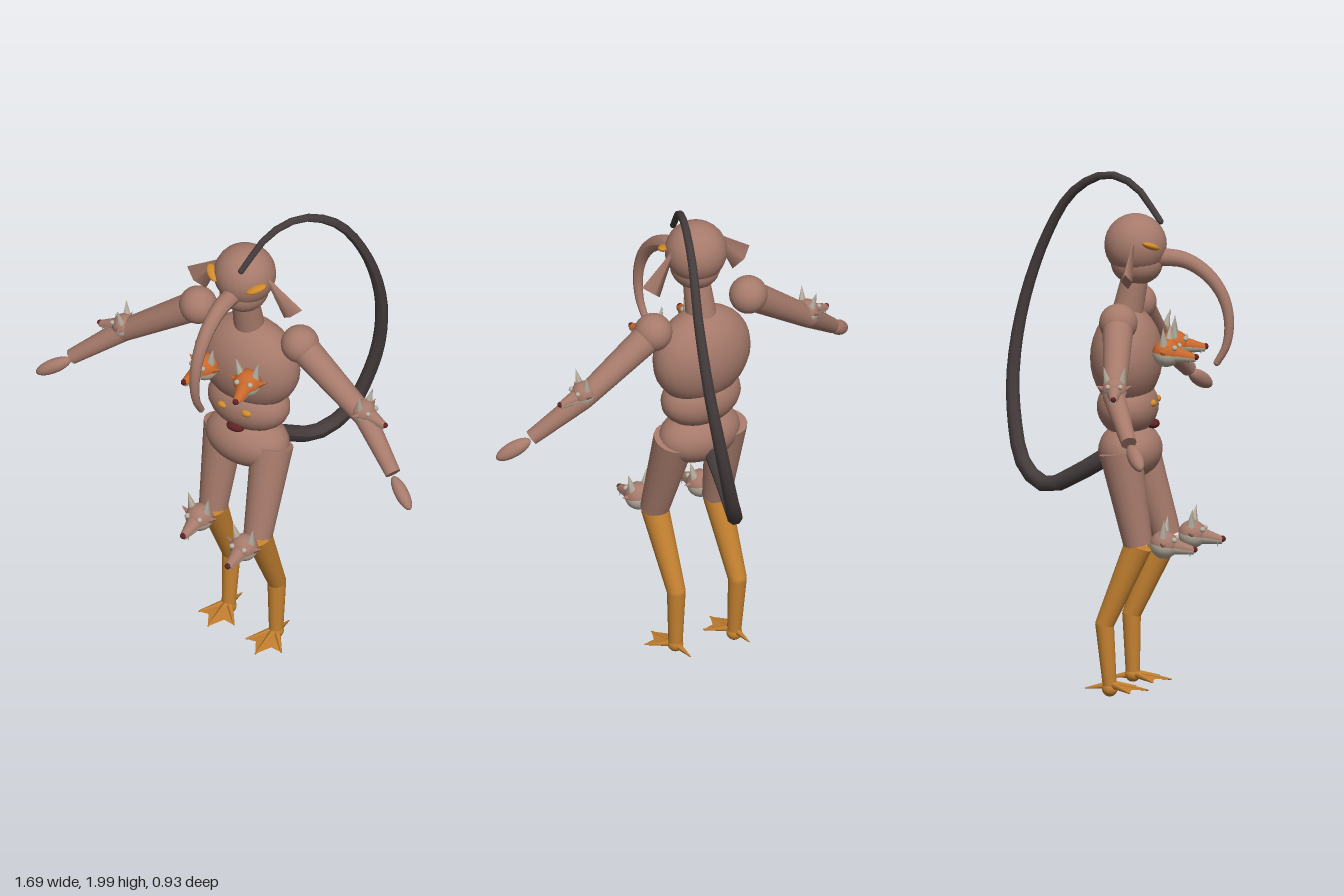
import * as THREE from 'three';

const mat = (name, color, extra = {}) => {
  const m = new THREE.MeshStandardMaterial({ color, ...extra });
  m.name = name;
  return m;
};
const V = (p) => new THREE.Vector3(...p);
const CX = -0.022; // body centre line

export function createModel() {
  const skin = mat('skin', 0xa67a6b);
  const gold = mat('leg gold', 0xc58231);
  const web = mat('web gold', 0xc07c2e, { side: THREE.DoubleSide });
  const charcoal = mat('tail charcoal', 0x453c3c);
  const orange = mat('orange fur', 0xc9682c);
  const cream = mat('bone', 0xb9af9f);
  const red = mat('mouth red', 0x5c2224);
  const yellow = mat('eye yellow', 0xd08a2a);

  const model = new THREE.Group();
  model.name = 'creature';

  const add = (parent, name, geo, material, pos) => {
    const mesh = new THREE.Mesh(geo, material);
    mesh.name = name;
    if (pos) mesh.position.set(...pos);
    parent.add(mesh);
    return mesh;
  };
  const ball = (name, pos, r, material, parent = model) => {
    const m = add(parent, name, new THREE.SphereGeometry(1, 24, 16), material, pos);
    m.scale.set(...(Array.isArray(r) ? r : [r, r, r]));
    return m;
  };
  // tapered cylinder from a to b
  const limb = (name, a, b, ra, rb, material, parent = model, sides = 20) => {
    const A = V(a), B = V(b), d = B.clone().sub(A);
    const m = add(parent, name, new THREE.CylinderGeometry(rb, ra, d.length(), sides), material);
    m.position.copy(A).add(B).multiplyScalar(0.5);
    m.quaternion.setFromUnitVectors(new THREE.Vector3(0, 1, 0), d.normalize());
    return m;
  };
  // tube whose rings shrink from r0 to r1
  const taperTube = (name, pts, r0, r1, segs, sides, material) => {
    const curve = new THREE.CatmullRomCurve3(pts.map(V));
    const geo = new THREE.TubeGeometry(curve, segs, 1, sides);
    const p = geo.attributes.position, v = new THREE.Vector3();
    for (let i = 0; i < p.count; i++) {
      const t = Math.floor(i / (sides + 1)) / segs;
      const c = curve.getPointAt(t);
      v.fromBufferAttribute(p, i).sub(c).multiplyScalar(r0 + (r1 - r0) * t).add(c);
      p.setXYZ(i, v.x, v.y, v.z);
    }
    geo.computeVertexNormals();
    add(model, name, geo, material);
    ball(name + 'Start', pts[0], r0, material);
    ball(name + 'End', pts[pts.length - 1], r1, material);
  };

  // small animal head: two-tone skull and snout, eyes, pointed ears
  const critter = (name, pos, target, r, topMat, eyeMat) => {
    const g = new THREE.Group();
    g.name = name;
    const half = Math.PI / 2;
    add(g, 'skullTop', new THREE.SphereGeometry(1, 20, 8, 0, Math.PI * 2, 0, half), topMat);
    add(g, 'skullBottom', new THREE.SphereGeometry(1, 20, 8, 0, Math.PI * 2, half, half), cream);
    const snout = (start) => new THREE.CylinderGeometry(0.27, 0.6, 1.5, 8, 1, false, start, Math.PI).rotateX(half);
    add(g, 'upperSnout', snout(half), topMat, [0, 0, 1.45]);
    add(g, 'lowerJaw', snout(-half), cream, [0, 0, 1.45]);
    ball('nose', [0, 0.1, 2.2], 0.22, red, g);
    for (const s of [-1, 1]) {
      ball('eye', [s * 0.5, 0.55, 0.72], 0.2, eyeMat, g);
      limb('ear', [s * 0.55, 0.6, -0.1], [s * 0.85, 1.95, -0.2], 0.34, 0, cream, g, 6);
      limb('cheekSpike', [s * 0.75, 0.1, 0.1], [s * 1.5, 0.35, -0.1], 0.28, 0, topMat, g, 6);
      limb('fang', [s * 0.24, 0, 1.9], [s * 0.26, -0.5, 1.95], 0.09, 0, cream, g, 5);
    }
    g.scale.setScalar(r);
    g.position.set(...pos);
    g.lookAt(V(target));
    model.add(g);
  };

  // head and torso
  ball('head', [CX, 1.735, 0.08], 0.12, skin);
  ball('jaw', [CX, 1.665, 0.085], [0.095, 0.085, 0.1], skin);
  limb('neck', [CX, 1.43, 0.04], [CX, 1.64, 0.085], 0.062, 0.05, skin);
  ball('chest', [CX, 1.3, 0.045], [0.213, 0.195, 0.137], skin);
  ball('belly', [CX, 1.11, 0.05], [0.172, 0.115, 0.117], skin);
  ball('hips', [CX, 0.94, 0.06], [0.175, 0.11, 0.122], skin);
  ball('bellyMouth', [CX, 1.042, 0.148], [0.038, 0.018, 0.025], red);

  // trunk and the long looping tail
  taperTube('trunk', [[CX, 1.69, 0.16], [CX, 1.68, 0.27], [CX, 1.625, 0.36], [CX, 1.54, 0.42],
    [CX, 1.44, 0.442], [CX, 1.35, 0.43], [CX, 1.285, 0.395]], 0.036, 0.013, 28, 12, skin);
  taperTube('tail', [[-0.02, 0.93, 0.0], [0.02, 0.84, -0.14], [0.075, 0.775, -0.28], [0.15, 0.84, -0.38],
    [0.22, 1.03, -0.43], [0.262, 1.21, -0.437], [0.287, 1.45, -0.4], [0.268, 1.71, -0.31],
    [0.212, 1.89, -0.2], [0.14, 1.973, -0.06], [0.075, 1.945, 0.06], [0.018, 1.82, 0.17]],
  0.036, 0.012, 30, 8, charcoal);

  for (const s of [-1, 1]) {
    const side = s > 0 ? 'left' : 'right';
    const x = (d) => CX + s * d;
    const dy = s > 0 ? 0.02 : -0.01; // left arm is held slightly higher

    // face and belly eyes
    const eye = ball(side + 'Eye', [x(0.098), 1.747, 0.155], [0.042, 0.013, 0.022], yellow);
    eye.rotation.set(0, s * 0.7, s * 0.35);
    ball(side + 'BellyEye', [x(0.053), 1.13, 0.155], [0.022, 0.014, 0.015], yellow);

    // flaring thin ears
    const ear = limb(side + 'Ear', [x(0.218), 1.627, 0.08], [x(0.1), 1.765, 0.09], 0.055, 0.006, skin, model, 4);
    ear.scale.z = 0.4;

    // arm
    const shoulder = [x(0.23), 1.47, 0.05], elbow = [x(0.545), 1.25 + dy, 0.085];
    const wrist = [x(0.725), 1.105 + dy, 0.17];
    ball(side + 'Shoulder', shoulder, 0.074, skin);
    limb(side + 'UpperArm', shoulder, elbow, 0.06, 0.043, skin);
    ball(side + 'Elbow', elbow, 0.043, skin);
    limb(side + 'Forearm', elbow, wrist, 0.043, 0.03, skin);
    const hand = ball(side + 'Hand', [x(0.785), 1.058 + dy, 0.205], [0.03, 0.075, 0.027], skin);
    hand.quaternion.setFromUnitVectors(new THREE.Vector3(0, 1, 0), new THREE.Vector3(s * 0.78, -0.48, 0.42).normalize());
    critter(side + 'ElbowHead', [x(0.54), 1.275 + dy, 0.085], [x(0.67), 1.245 + dy, 0.1], 0.048, skin, cream);

    // chest heads
    critter(side + 'ChestHead', [x(0.097), 1.335, 0.215], [x(0.12), 1.318, 0.35], 0.054, orange, cream);

    // leg, the left one a stride ahead
    const lx = s > 0 ? 0.1 : -0.145;
    const kneeZ = s > 0 ? 0.18 : 0.11, ankleZ = s > 0 ? 0.045 : -0.02, footZ = s > 0 ? 0.05 : 0.0;
    const knee = [lx, 0.59, kneeZ], hock = [lx, 0.28, ankleZ];
    limb(side + 'Thigh', [s > 0 ? 0.092 : -0.137, 0.95, s > 0 ? 0.065 : 0.04], knee, 0.082, 0.056, skin);
    limb(side + 'Shin', knee, hock, 0.054, 0.036, gold);
    ball(side + 'Hock', hock, 0.036, gold);
    limb(side + 'Shank', hock, [lx, 0.04, footZ], 0.036, 0.027, gold);
    critter(side + 'KneeHead', [lx, 0.595, kneeZ + 0.1], [lx, 0.57, kneeZ + 0.24], 0.054, skin, cream);

    // webbed foot
    const foot = new THREE.Group();
    foot.name = side + 'Foot';
    foot.position.set(lx, 0, footZ);
    model.add(foot);
    ball('ankle', [0, s > 0 ? 0.045 : 0.03, 0], 0.03, gold, foot);
    const rim = [[-0.08, 0.028, 0.09], [-0.035, 0.034, 0.09], [0, 0.028, 0.15], [0.035, 0.034, 0.09], [0.08, 0.028, 0.09]];
    const tri = [];
    for (let i = 0; i < 4; i++) tri.push(0, 0.055, 0, ...rim[i], ...rim[i + 1]);
    const geo = new THREE.BufferGeometry();
    geo.setAttribute('position', new THREE.Float32BufferAttribute(tri, 3));
    geo.computeVertexNormals();
    add(foot, 'web', geo, web);
    for (const i of [0, 2, 4]) limb('toe', [0, 0.05, 0], rim[i], 0.016, 0.003, gold, foot, 6);
    limb('backSpur', [0, 0.045, 0], [0, 0.03, -0.095], 0.016, 0.002, gold, foot, 6);
  }
  return model;
}
